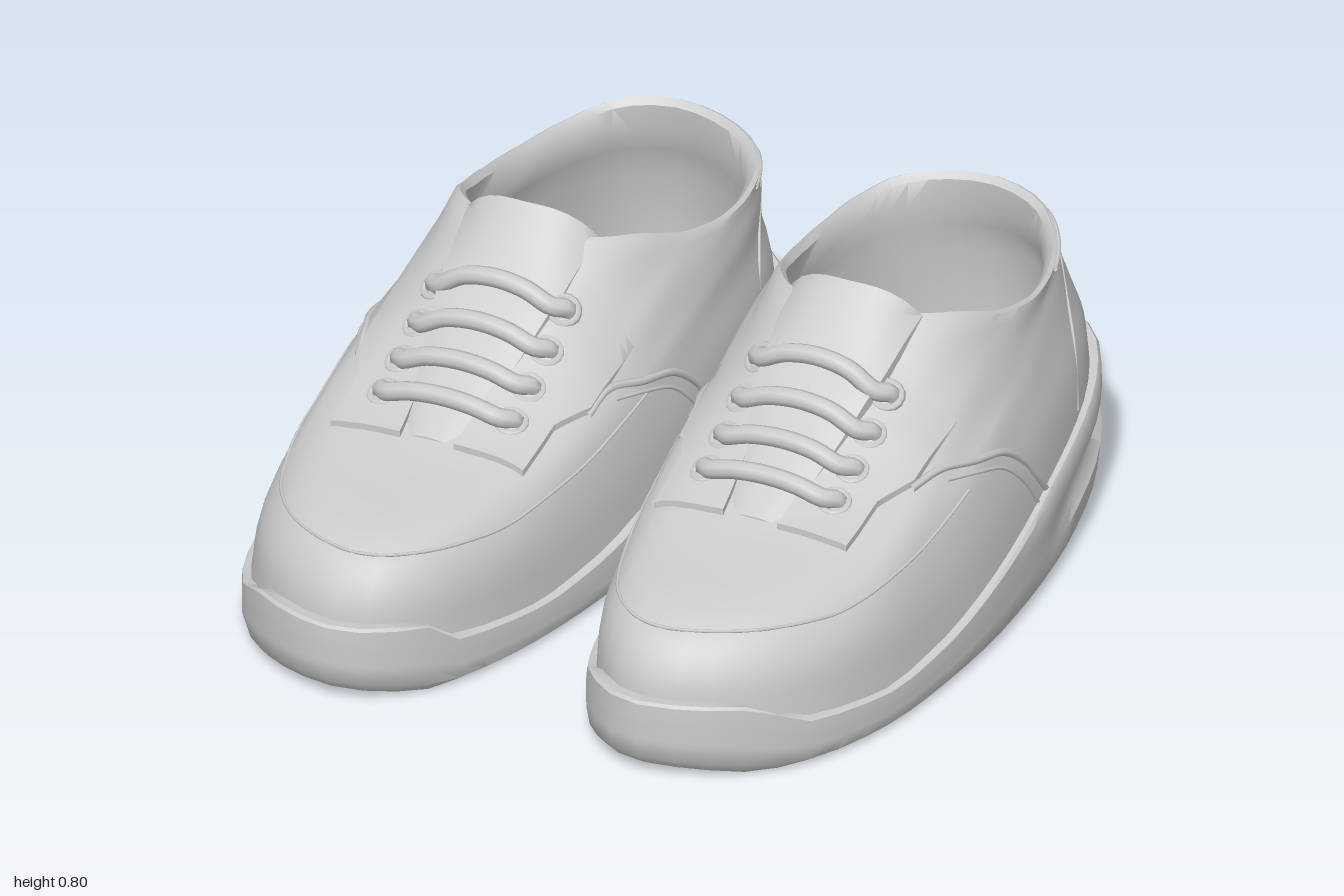
import * as THREE from 'three';
import { toCreasedNormals } from 'three/addons/utils/BufferGeometryUtils.js';

const V = (x, y, z) => new THREE.Vector3(x, y, z);
const lerp = THREE.MathUtils.lerp;
const smoothstep = THREE.MathUtils.smoothstep;
const material = new THREE.MeshStandardMaterial({ color: 0xcccccc, side: THREE.DoubleSide });
const CX = 0.42; // lace line of one shoe

// Piecewise linear lookup in [[position, value], ...]
function keyed(keys, z) {
  for (let i = 1; i < keys.length; i++) {
    const [a, va] = keys[i - 1], [b, vb] = keys[i];
    if (z <= b) return lerp(va, vb, Math.max(0, (z - a) / (b - a)));
  }
  return keys[keys.length - 1][1];
}

// Footprint, heel -> outer side -> toe -> inner side, normalised to 0..1
const N = 56;
const footprint = new THREE.CatmullRomCurve3([
  [0.45, -1], [0.62, -0.92], [0.745, -0.71], [0.83, -0.37], [0.867, -0.02], [0.862, 0.26], [0.825, 0.55],
  [0.74, 0.77], [0.59, 0.93], [0.38, 1], [0.24, 0.91], [0.14, 0.73], [0.065, 0.45], [0.02, 0.1],
  [0.012, -0.27], [0.05, -0.62], [0.13, -0.83], [0.28, -0.96],
].map(([x, z]) => V(x, 0, z)), true).getSpacedPoints(N).slice(0, N);
const box = new THREE.Box3().setFromPoints(footprint);
const unit = footprint.map(p => [
  (p.x - box.min.x) / (box.max.x - box.min.x), (p.z - box.min.z) / (box.max.z - box.min.z)]);

// Footprint fitted to a rectangle, with height from a rule
const ring = (x0, x1, z0, z1, y) => unit.map(([u, v]) => {
  const z = lerp(z0, z1, v);
  return V(lerp(x0, x1, u), y(v, z), z);
});

// Skin over closed rings, optionally capped at the first or last one
function loft(rings, capFirst, capLast) {
  const pos = rings.flat().flatMap(p => [p.x, p.y, p.z]), index = [];
  for (let r = 0; r < rings.length - 1; r++) {
    for (let i = 0; i < N; i++) {
      const a = r * N + i, b = r * N + (i + 1) % N;
      index.push(a, a + N, b, b, a + N, b + N);
    }
  }
  const cap = (r, flip) => {
    const c = rings[r].reduce((s, p) => s.add(p), V(0, 0, 0)).divideScalar(N);
    const k = pos.length / 3;
    pos.push(c.x, c.y, c.z);
    for (let i = 0; i < N; i++) {
      const a = r * N + i, b = r * N + (i + 1) % N;
      index.push(...(flip ? [k, b, a] : [k, a, b]));
    }
  };
  if (capFirst) cap(0, false);
  if (capLast) cap(rings.length - 1, true);
  const g = new THREE.BufferGeometry();
  g.setAttribute('position', new THREE.Float32BufferAttribute(pos, 3));
  g.setIndex(index);
  return toCreasedNormals(g, 0.7);
}

function soleGeometry() {
  const top = z => keyed([[-1, 0.32], [-0.6, 0.29], [-0.3, 0.25], [0, 0.18], [0.25, 0.125],
    [0.5, 0.1], [0.8, 0.125], [0.86, 0.185], [1, 0.2]], z);
  const bottom = z => keyed([[-1, 0.05], [-0.4, 0], [0.85, 0], [1, 0.035]], z);
  // [height fraction, inset, heel groove depth]
  const rows = [[0, 0.03, 0], [0.12, 0.008, 0], [0.36, 0, 0], [0.44, 0, 0.035], [0.64, 0, 0.035],
    [0.75, 0, 0], [0.96, 0.002, 0], [1, 0.01, 0], [1, 0.05, 0]];
  return loft(rows.map(([f, d, g]) => {
    const pts = ring(0.01 + d, 0.867 - d, -1 + d, 1 - d, (v, z) => lerp(bottom(z), top(z), f));
    for (const p of pts) {
      const k = 1 - g * smoothstep(-p.z, 0.2, 0.5);
      p.x = 0.44 + (p.x - 0.44) * k;
      p.z *= k;
    }
    return pts;
  }), true, false);
}

// Upper rings: inner x, outer x, heel z, toe z, heights from heel to toe
const levels = [
  [0.03, 0.85, -0.96, 0.965, [0.24, 0.18, 0.07, 0.15]],
  [0.04, 0.832, -0.95, 0.945, [0.4, 0.37, 0.23, 0.25]],
  [0.06, 0.8, -0.915, 0.87, [0.5, 0.485, 0.47, 0.43, 0.355, 0.315, 0.335]],
  [0.075, 0.757, -0.88, 0.47, [0.58, 0.55, 0.5, 0.405]],
  [0.09, 0.727, -0.86, 0.22, [0.64, 0.6, 0.6, 0.535]],
  [0.1, 0.712, -0.84, -0.03, [0.69, 0.65, 0.635, 0.64, 0.665, 0.715, 0.735]],
];
const levelRing = ([x0, x1, z0, z1, h], d = 0, drop = 0) => ring(x0 + d, x1 - d, z0 + d, z1 - d,
  v => keyed(h.map((y, i) => [i / (h.length - 1), y]), v) - drop);

function upperGeometry() {
  const main = levels.map(l => levelRing(l)), rows = 20;
  const columns = unit.map((_, i) => new THREE.CatmullRomCurve3(main.map(r => r[i])).getPoints(rows));
  const rings = [];
  for (let r = 0; r <= rows; r++) rings.push(columns.map(c => c[r]));
  // Rolled collar, lining and insole
  rings.push(levelRing(levels[5], 0.01, -0.006), levelRing(levels[5], 0.024, 0.01));
  for (const k of [4, 3, 2]) rings.push(levelRing(levels[k], 0.035, 0.03));
  rings.push(ring(0.1, 0.78, -0.88, 0.82, v => lerp(0.27, 0.18, v)));
  return loft(rings, false, true);
}

function buildShoe() {
  const shoe = new THREE.Group();
  const add = (name, geometry) => {
    const m = new THREE.Mesh(geometry, material);
    m.name = name;
    shoe.add(m);
    return m;
  };
  const tube = (name, pts, r, sides = 6) => add(name,
    new THREE.TubeGeometry(new THREE.CatmullRomCurve3(pts), pts.length * 5, r, sides));
  add('sole', soleGeometry());
  const upper = add('upper', upperGeometry());

  // Find points on the upper from above or from a side
  const caster = new THREE.Raycaster();
  const hit = (o, d) => { caster.set(o, d); return caster.intersectObject(upper)[0]; };
  const drape = (x, z) => hit(V(x, 2, z), V(0, -1, 0));
  const height = (x, z) => drape(x, z)?.point.y ?? 0.6;
  const onSide = (s, z, y) => hit(V(0.43 + s * 2, y, z), V(-s, 0, 0))?.point;

  // Toe and mudguard seam, heel collar seam
  tube('mudguardSeam', levelRing(levels[2]).filter(p => p.z > 0), 0.004);
  const rim = levelRing([0.095, 0.723, -0.853, 0.1, [0.66, 0.617, 0.635, 0.64]]);
  tube('collarSeam', [...rim.slice(N / 2), ...rim.slice(0, N / 2)].filter(p => p.z < -0.6), 0.006);

  // Tongue, a bent strip whose tip arches above the collar
  const path = [[-0.06, 0.8], [0, 0.745], [0.08, 0.665], [0.2, 0.575], [0.33, 0.49], [0.44, 0.42]];
  const tongue = new THREE.BoxGeometry(2, 1, 1, 10, 1, 20), tp = tongue.attributes.position;
  for (let i = 0; i < tp.count; i++) {
    const s = tp.getX(i), t = 0.5 + tp.getZ(i), z = lerp(-0.06, 0.44, t);
    const half = keyed([[0, 0.17], [0.3, 0.15], [1, 0.07]], t), tip = Math.max(0, 1 - t * 3);
    const y = keyed(path, z) - (0.02 + 0.05 * tip) * Math.abs(s) ** 3;
    tp.setXYZ(i, CX + s * half, y + (tp.getY(i) - 0.5) * 0.03, z - 0.04 * tip * s * s);
  }
  tongue.computeVertexNormals();
  add('tongue', toCreasedNormals(tongue, 0.7));

  for (const s of [-1, 1]) {
    // Eyestay flap laid over the vamp, widening back into the quarter and fading out
    const flap = new THREE.BoxGeometry(1, 1, 1, 8, 1, 18), fp = flap.attributes.position;
    for (let i = 0; i < fp.count; i++) {
      const z = lerp(0, 0.45, 0.5 + fp.getZ(i));
      const outer = keyed([[0, 0.31], [0.2, 0.3], [0.3, 0.255], [0.45, 0.25]], z);
      const x = CX + s * lerp(lerp(0.12, 0.07, z / 0.45), outer, 0.5 + s * fp.getX(i));
      const lift = 0.002 + 0.014 * smoothstep(z, 0, 0.15);
      fp.setXYZ(i, x, height(x, z) + (fp.getY(i) > 0 ? lift : -0.015), z);
    }
    flap.computeVertexNormals();
    add('eyestay', toCreasedNormals(flap, 0.7));

    // Quarter panel edge running on from the flap, its stitch row, and the heel counter seam
    const start = V(CX + s * 0.298, height(CX + s * 0.298, 0.21), 0.21);
    const seams = [
      ['quarterEdge', 0.01, [start], [[0.12, 0.468], [0.02, 0.45], [-0.1, 0.42],
        [-0.18, 0.36], [-0.23, 0.3], [-0.28, 0.24]]],
      ['quarterStitch', 0.005, [], [[0.12, 0.445], [0.02, 0.425], [-0.08, 0.39], [-0.15, 0.33], [-0.23, 0.23]]],
      ['counterSeam', 0.004, [], [[-0.74, 0.59], [-0.67, 0.52], [-0.61, 0.43], [-0.55, 0.3]]],
    ];
    for (const [name, r, head, pts] of seams) {
      tube(name, [...head, ...pts.map(([z, y]) => onSide(s, z, y)).filter(Boolean)], r);
    }
  }

  // Laces and eyelets
  for (const z of [0.355, 0.265, 0.175, 0.085]) {
    const half = 0.165, mid = height(CX, z) + 0.045;
    const pts = [];
    for (const s of [-1, 1]) {
      const x = CX + s * half, y = height(x, z);
      const end = [V(x - s * 0.005, y - 0.02, z - 0.025), V(x + s * 0.008, y + 0.02, z - 0.015),
        V(x - s * 0.02, y + 0.035, z + 0.012), V(CX + s * 0.08, lerp(y + 0.035, mid, 0.75), z + 0.018)];
      pts.push(...(s < 0 ? end : [V(CX, mid, z + 0.018), ...end.reverse()]));
      const eyelet = add('eyelet', new THREE.TorusGeometry(0.034, 0.01, 6, 14));
      eyelet.position.set(x, y + 0.016, z - 0.012);
      const n = drape(x, z)?.face.normal ?? V(0, 1, 0);
      eyelet.quaternion.setFromUnitVectors(V(0, 0, 1), n);
    }
    tube('lace', pts, 0.023, 8);
  }
  return shoe;
}

// Mirror image with corner order restored
function mirrored(source) {
  const copy = new THREE.Group();
  for (const m of source.children) {
    m.updateMatrix();
    const g = m.geometry.index ? m.geometry.toNonIndexed() : m.geometry.clone();
    g.applyMatrix4(m.matrix);
    for (const a of [g.attributes.position, g.attributes.normal]) {
      for (let i = 0; i < a.count; i += 3) {
        const p = [0, 2, 1].map(k => V().fromBufferAttribute(a, i + k));
        p.forEach((q, k) => a.setXYZ(i + k, -q.x, q.y, q.z));
      }
    }
    const mesh = new THREE.Mesh(g, material);
    mesh.name = m.name;
    copy.add(mesh);
  }
  return copy;
}

export function createModel() {
  const model = new THREE.Group();
  const left = buildShoe(), right = mirrored(left);
  left.name = 'leftShoe';
  right.name = 'rightShoe';
  model.add(left, right);
  return model;
}
